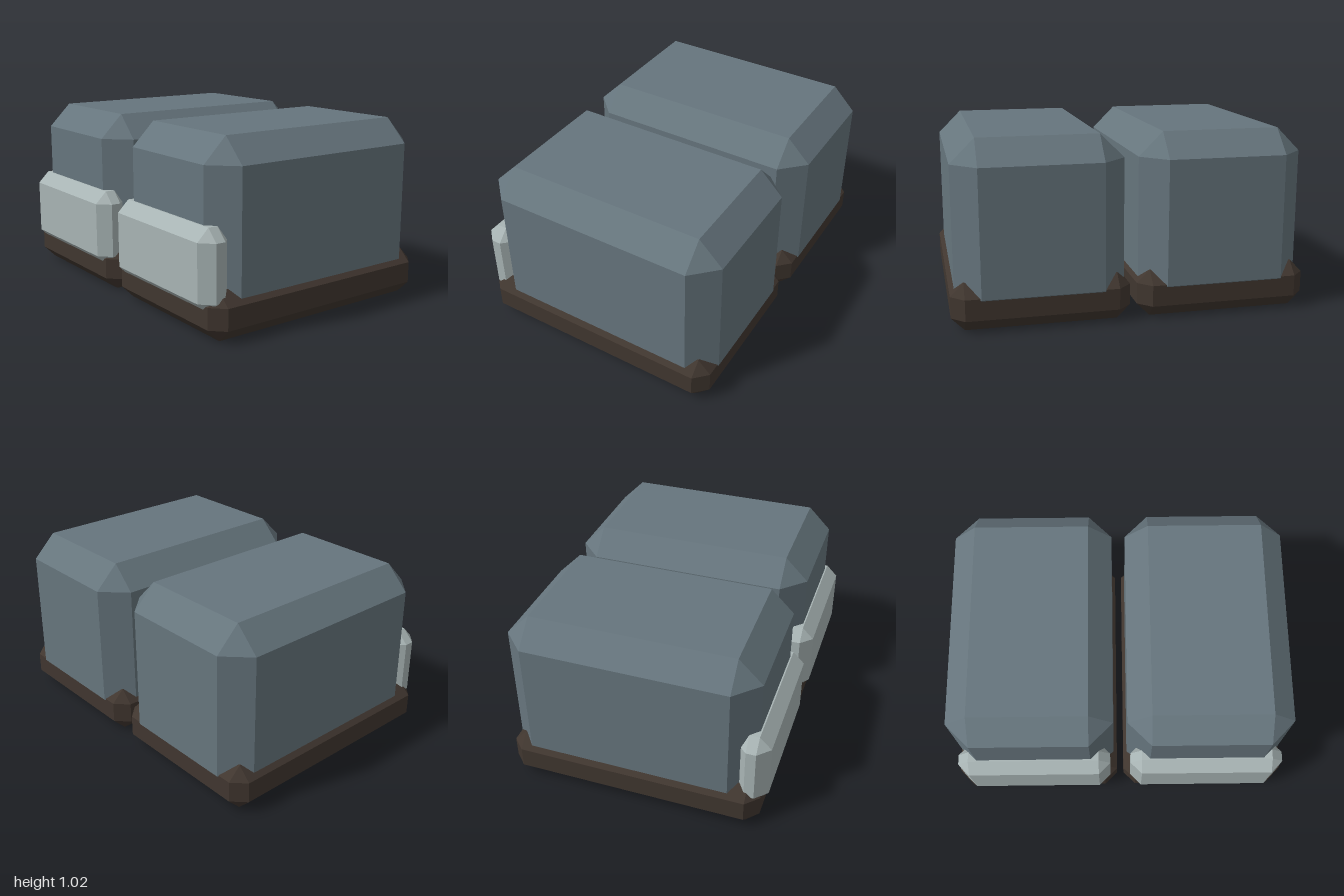
import * as THREE from 'three';
import { ConvexGeometry } from 'three/addons/geometries/ConvexGeometry.js';

const mat = (color) => new THREE.MeshStandardMaterial({ color, flatShading: true });

// Box with every edge cut at 45 degrees by c, given its min and max corners
function chamferBox(name, min, max, c, material) {
  const size = max.map((v, i) => (v - min[i]) / 2);
  const points = [];
  for (const sx of [-1, 1]) for (const sy of [-1, 1]) for (const sz of [-1, 1]) {
    for (let axis = 0; axis < 3; axis++) {
      const p = size.map((h, i) => (i === axis ? h : h - c));
      points.push(new THREE.Vector3(sx * p[0], sy * p[1], sz * p[2]));
    }
  }
  const mesh = new THREE.Mesh(new ConvexGeometry(points), material);
  mesh.position.set(...min.map((v, i) => (v + max[i]) / 2));
  mesh.name = name;
  return mesh;
}

export function createModel() {
  const model = new THREE.Group();
  model.name = 'pairOfBoots';
  const upperMat = mat(0x66757d);
  const soleMat = mat(0x40362f);
  const capMat = mat(0xa8b4b4);

  for (const side of [1, -1]) {
    const boot = new THREE.Group();
    boot.name = side > 0 ? 'leftBoot' : 'rightBoot';
    // x ranges run from the inner to the outer side of the boot
    const add = (name, x0, x1, y0, y1, z0, z1, c, m) => {
      const xs = [side * x0, side * x1].sort((a, b) => a - b);
      boot.add(chamferBox(name, [xs[0], y0, z0], [xs[1], y1, z1], c, m));
    };
    add('sole', 0.02, 1.0, 0, 0.265, -0.745, 0.715, 0.073, soleMat);
    add('upper', 0.04, 0.975, 0.05, 1.025, -0.75, 0.675, 0.135, upperMat);
    add('toeCap', 0.06, 0.957, 0.14, 0.588, 0.56, 0.75, 0.067, capMat);
    model.add(boot);
  }
  return model;
}
